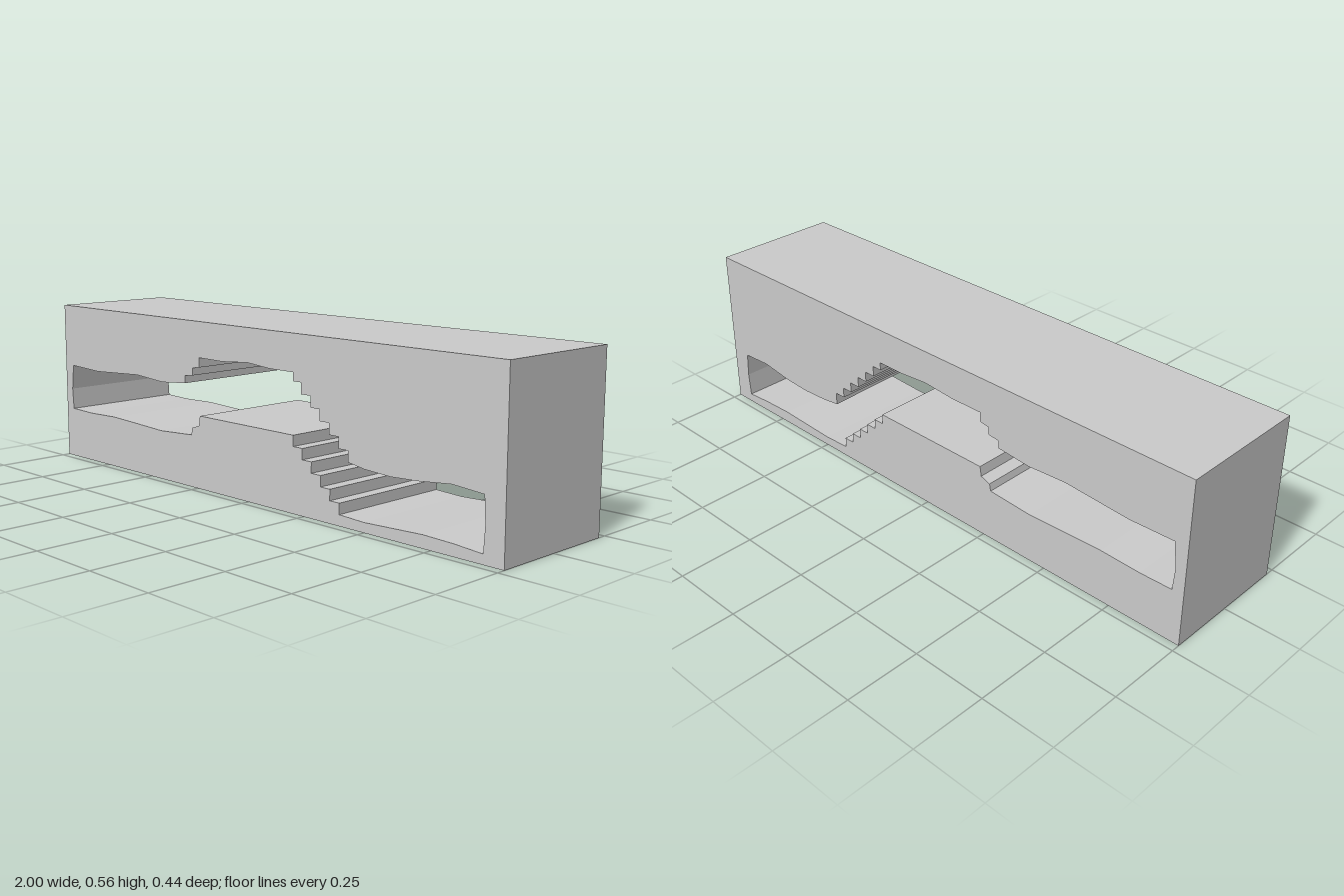
import * as THREE from 'three';

const W = 1, H = 0.555, D = 0.222;

const mat = new THREE.MeshStandardMaterial({ color: 0xcccccc, flatShading: true, side: THREE.DoubleSide });

// Passage outline, counter-clockwise: [x, y, drop of y towards the back]
const floorLine = [
  [-0.96, 0.177], [-0.85, 0.174], [-0.71, 0.178], [-0.58, 0.173], [-0.44, 0.167], [-0.28, 0.176],
  [-0.275, 0.2], [-0.24, 0.212], [-0.235, 0.245],
];
const endLine = [
  [0.4, 0.035], [0.5, 0.031], [0.72, 0.04], [0.83, 0.037], [0.93, 0.03],
  [0.935, 0.11], [0.93, 0.192], [0.82, 0.2, 0.002], [0.7, 0.188, 0.007], [0.6, 0.183, 0.007],
  [0.5, 0.188, 0.007], [0.435, 0.198, 0.008],
];
const roofLine = [
  [0.205, 0.437], [0.1, 0.437], [0, 0.445], [-0.12, 0.436], [-0.235, 0.437],
  [-0.235, 0.405], [-0.27, 0.4], [-0.27, 0.375], [-0.31, 0.37], [-0.31, 0.345],
  [-0.43, 0.335], [-0.57, 0.344], [-0.8, 0.331], [-0.955, 0.337], [-0.965, 0.25],
];

// Stair points running down to the right from (x, y)
function stairs(x, y, count, run, rise) {
  const pts = [];
  for (let i = 0; i < count; i++) {
    pts.push([x + i * run, y - i * rise], [x + i * run, y - (i + 1) * rise]);
  }
  return pts;
}

const outline = [
  ...floorLine,
  ...stairs(0.205, 0.245, 6, 0.039, 0.035),
  ...endLine,
  ...stairs(0.24, 0.41, 6, 0.039, 0.0355).reverse(),
  [0.205, 0.41],
  ...roofLine,
];
const frontPts = outline.map(([x, y]) => new THREE.Vector2(x, y));
const backPts = outline.map(([x, y, drop = 0]) => new THREE.Vector2(x, y - drop));

// Surface spanning from the front outline to the back outline
function band(front, back, closed) {
  const pos = [], n = front.length;
  for (let i = 0; i < (closed ? n : n - 1); i++) {
    const j = (i + 1) % n;
    const a = [front[i].x, front[i].y, D], b = [front[j].x, front[j].y, D];
    const c = [back[j].x, back[j].y, -D], d = [back[i].x, back[i].y, -D];
    pos.push(...a, ...b, ...c, ...a, ...c, ...d);
  }
  const g = new THREE.BufferGeometry();
  g.setAttribute('position', new THREE.Float32BufferAttribute(pos, 3));
  g.computeVertexNormals();
  return g;
}

// Flat long wall with the passage cut out
function wall(hole) {
  const s = new THREE.Shape([
    new THREE.Vector2(-W, 0), new THREE.Vector2(W, 0),
    new THREE.Vector2(W, H), new THREE.Vector2(-W, H),
  ]);
  s.holes.push(new THREE.Path([...hole].reverse()));
  return new THREE.ShapeGeometry(s);
}

export function createModel() {
  const group = new THREE.Group();
  const add = (name, geo) => {
    const m = new THREE.Mesh(geo, mat);
    m.name = name;
    group.add(m);
    return m;
  };

  // Long walls
  add('frontWall', wall(frontPts)).position.z = D;
  const back = wall(backPts.map((p) => new THREE.Vector2(-p.x, p.y)).reverse());
  const backWall = add('backWall', back);
  backWall.rotation.y = Math.PI;
  backWall.position.z = -D;

  // Ends, top and narrow base strips; the underside stays open between them
  const shell = [[0.93, 0], [W, 0], [W, H], [-W, H], [-W, 0], [-0.96, 0]]
    .map(([x, y]) => new THREE.Vector2(x, y));
  shell.reverse();
  add('outerShell', band(shell, shell, false));

  // Floor, stairs, ceiling and ends of the passage
  add('passageLining', band(frontPts, backPts, true));
  return group;
}
